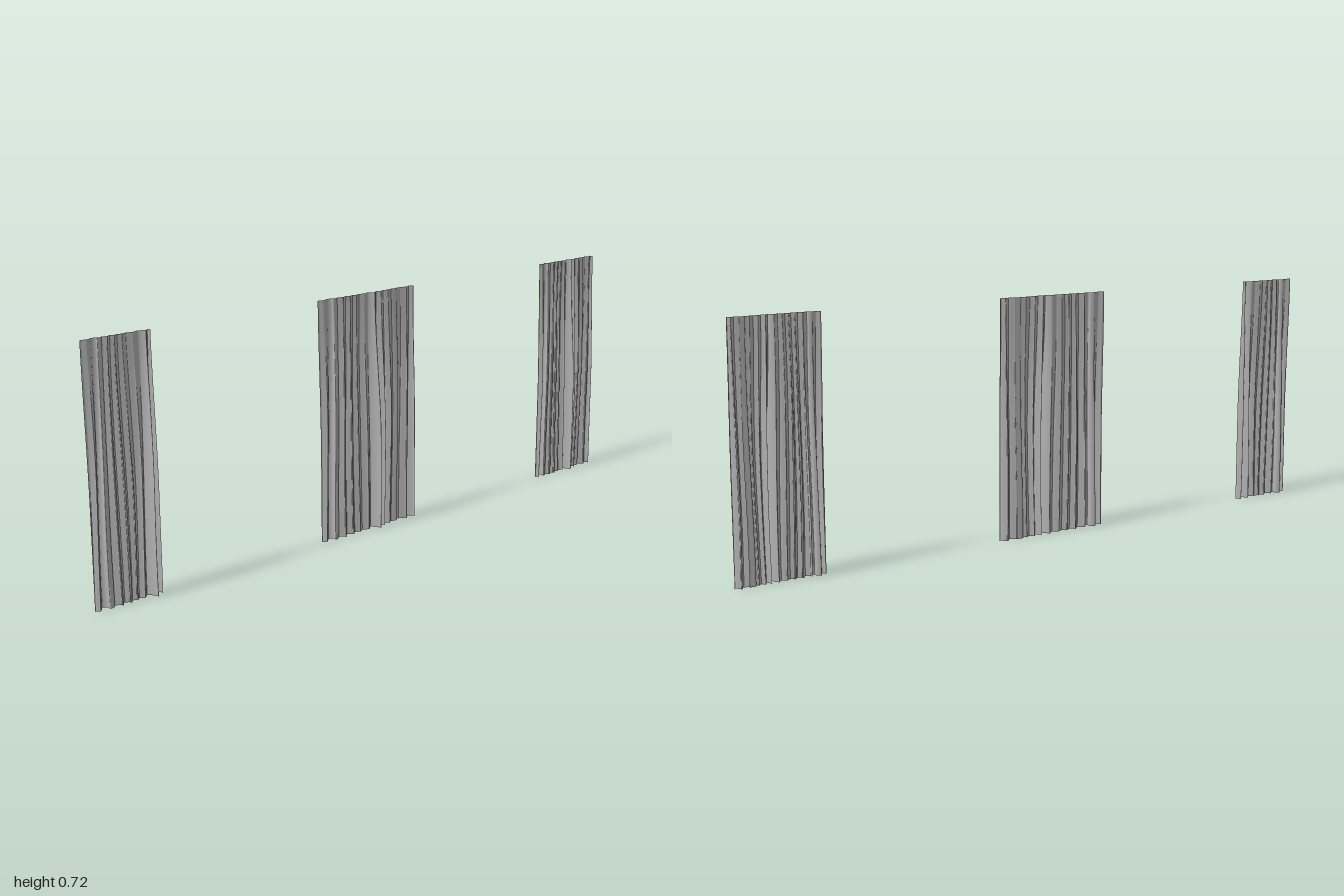
import * as THREE from 'three';

const HEIGHT = 0.722;
const cloth = new THREE.MeshStandardMaterial({ color: 0xb2b2b2, side: THREE.DoubleSide });
cloth.name = 'grey cloth';

const bump = (u, centre, width) => Math.exp(-(((u - centre) / width) ** 2));

// Pleat outline across the cloth: sideways depth x and fold-over shift along z
function pleat(u) {
  const phase = 2 * Math.PI * (12 * u + 0.12 * Math.sin(19 * u));
  const depth = 0.008 + 0.0025 * Math.sin(17 * u + 1);
  let x = depth * Math.sin(phase);
  x -= 0.012 * bump(u, 0.18, 0.02);
  x += 0.012 * bump(u, 0.42, 0.02);
  x -= 0.013 * bump(u, 0.88, 0.025);
  x += 0.007 * bump(u, 0.83, 0.02);
  const shift = 0.006 * Math.sin(2 * phase) * (0.6 + 0.4 * Math.sin(11 * u));
  return { x: THREE.MathUtils.clamp(x, -0.022, 0.021), shift };
}

// One hanging panel from z0 to z1, using the pleat outline from u0 to 1
function panel(name, z0, z1, u0) {
  const geo = new THREE.PlaneGeometry(1, 1, Math.round(240 * (1 - u0)), 24);
  const pos = geo.attributes.position;
  for (let i = 0; i < pos.count; i++) {
    const a = pos.getX(i) + 0.5;
    const v = pos.getY(i) + 0.5;
    const { x, shift } = pleat(u0 + (1 - u0) * a);
    // Pleats flatten and lean toward -x as they reach the top hem
    const t = THREE.MathUtils.smoothstep(v * HEIGHT, 0.28, 0.74);
    const edge = Math.min(1, a * 20, (1 - a) * 20);
    const sway = 0.004 * Math.sin(v * 4 + a * 9) * edge;
    pos.setXYZ(i,
      x * (1 - 0.62 * t) - 0.008 * t,
      v * HEIGHT,
      z0 + (z1 - z0) * a + shift * edge * (1 - 0.4 * t) + sway);
  }
  geo.computeVertexNormals();
  const mesh = new THREE.Mesh(geo, cloth);
  mesh.name = name;
  return mesh;
}

export function createModel() {
  const group = new THREE.Group();
  group.name = 'curtains';
  group.add(
    panel('frontCurtain', 0.79, 1.0, 0.36),
    panel('middleCurtain', -0.158, 0.22, 0),
    panel('backCurtain', -1.0, -0.73, 0),
  );
  return group;
}
